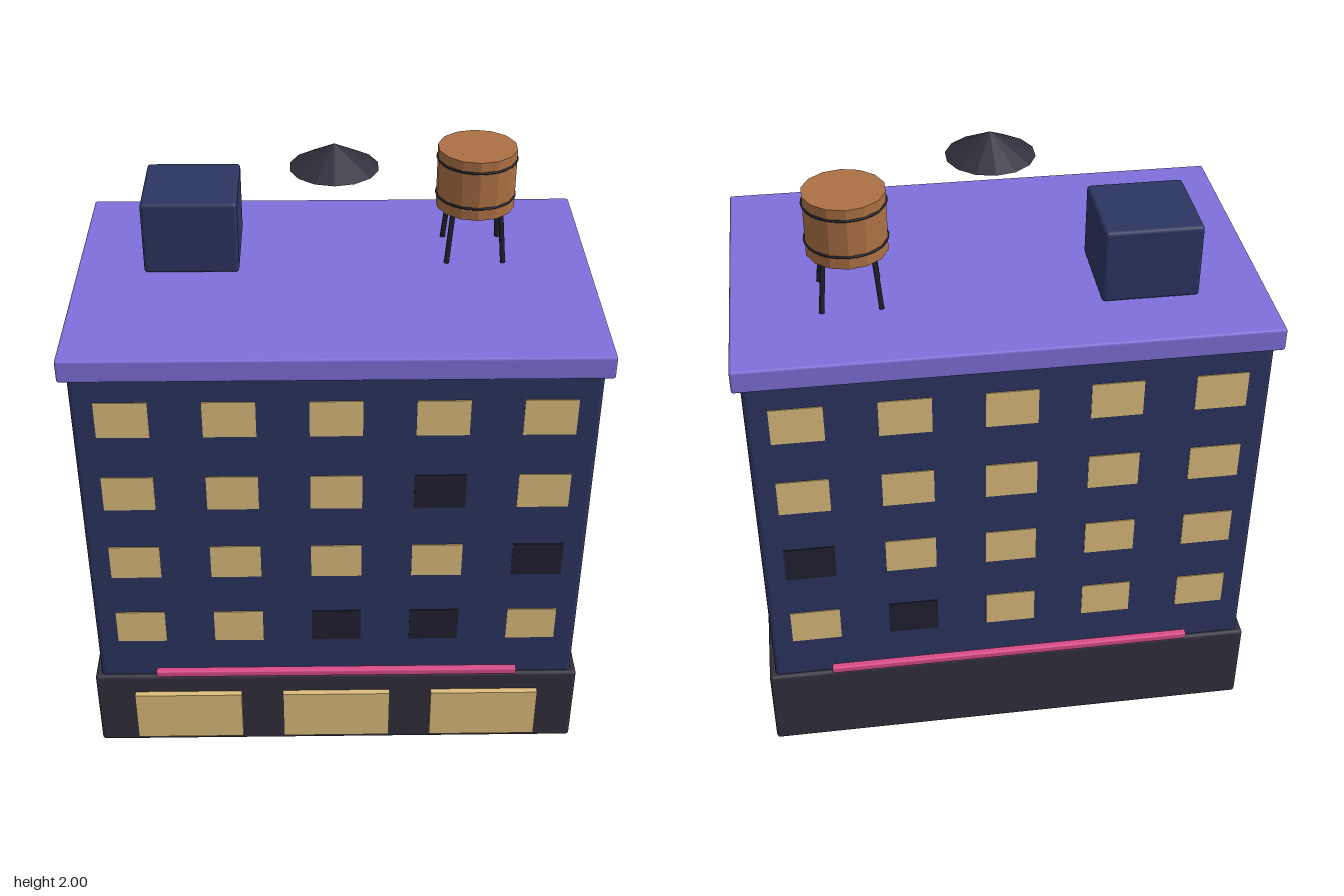
import * as THREE from 'three';
import { RoundedBoxGeometry } from 'three/addons/geometries/RoundedBoxGeometry.js';

const paint = (color, flatShading = false) => new THREE.MeshStandardMaterial({ color, flatShading });
const navy = paint(0x2c3560), charcoal = paint(0x322f3d), purple = paint(0x7f6fdb);
const lit = paint(0xdcbc7c), dark = paint(0x211f30), pink = paint(0xd94a88);
const wood = paint(0xab7044, true), iron = paint(0x211f2a), roofing = paint(0x322f3d, true);

function add(parent, name, geometry, material, x = 0, y = 0, z = 0) {
  const mesh = new THREE.Mesh(geometry, material);
  mesh.name = name;
  mesh.position.set(x, y, z);
  parent.add(mesh);
  return mesh;
}
const block = (w, h, d, r) => new RoundedBoxGeometry(w, h, d, 2, r);

// Strut between two points
function strut(parent, name, a, b, radius, material) {
  const mesh = add(parent, name, new THREE.CylinderGeometry(radius, radius, a.distanceTo(b), 6), material);
  mesh.position.copy(a).add(b).multiplyScalar(0.5);
  mesh.quaternion.setFromUnitVectors(new THREE.Vector3(0, 1, 0), b.clone().sub(a).normalize());
}

// Grid of windows on one wall; unlit lists "row,column" from top left as seen from outside
function windowWall(name, columns, spacing, distance, angle, unlit) {
  const wall = new THREE.Group();
  wall.name = name;
  const pane = new THREE.BoxGeometry(0.16, 0.125, 0.01);
  for (let row = 0; row < 4; row++) {
    for (let col = 0; col < columns; col++) {
      const off = unlit.includes(`${row},${col}`);
      add(wall, off ? 'unlitWindow' : 'litWindow', pane, off ? dark : lit,
        (col - (columns - 1) / 2) * spacing, 1.34 - row * 0.275, distance);
    }
  }
  wall.rotation.y = angle;
  return wall;
}

function waterTank() {
  const tank = new THREE.Group();
  tank.name = 'waterTank';
  add(tank, 'barrel', new THREE.CylinderGeometry(0.125, 0.125, 0.195, 14), wood, 0, 0.2625, 0);
  for (const y of [0.205, 0.325]) {
    add(tank, 'barrelHoop', new THREE.TorusGeometry(0.124, 0.004, 6, 28), iron, 0, y, 0).rotation.x = Math.PI / 2;
  }
  for (const sx of [-1, 1]) {
    for (const sz of [-1, 1]) {
      strut(tank, 'tankLeg', new THREE.Vector3(sx * 0.09, 0, sz * 0.09),
        new THREE.Vector3(sx * 0.075, 0.17, sz * 0.075), 0.009, iron);
    }
  }
  tank.position.set(0.45, 1.56, -0.15);
  return tank;
}

export function createModel() {
  const model = new THREE.Group();
  model.name = 'apartmentBuilding';

  // Main volumes
  add(model, 'groundFloor', block(1.62, 0.3, 1.02, 0.012), charcoal, 0, 0.15, 0);
  add(model, 'upperFloors', block(1.58, 1.25, 0.99, 0.015), navy, 0, 0.885, 0);
  add(model, 'roofSlab', block(1.63, 0.075, 1.03, 0.008), purple, 0, 1.5225, 0);

  // Windows on all four walls
  model.add(
    windowWall('frontWindows', 5, 0.32, 0.493, 0, ['1,3', '2,4', '3,2', '3,3']),
    windowWall('backWindows', 5, 0.32, 0.493, Math.PI, ['2,0', '3,1']),
    windowWall('leftWindows', 3, 0.333, 0.788, Math.PI / 2, ['2,0']),
    windowWall('rightWindows', 3, 0.333, 0.788, -Math.PI / 2, ['0,1', '1,2', '2,2']),
  );

  // Shop windows and light strips
  for (const x of [-0.5, 0, 0.5]) {
    add(model, 'shopWindow', new THREE.BoxGeometry(0.36, 0.195, 0.03), lit, x, 0.1325, 0.515);
  }
  for (const z of [-0.525, 0.525]) {
    add(model, 'lightStrip', block(1.2, 0.025, 0.025, 0.006), pink, 0, 0.335, z);
  }

  // Rooftop
  add(model, 'stairHut', block(0.3, 0.24, 0.3, 0.012), navy, -0.45, 1.68, -0.15);
  model.add(waterTank());
  add(model, 'conicalCap', new THREE.ConeGeometry(0.137, 0.075, 14), roofing, 0, 1.9625, 0);

  return model;
}
